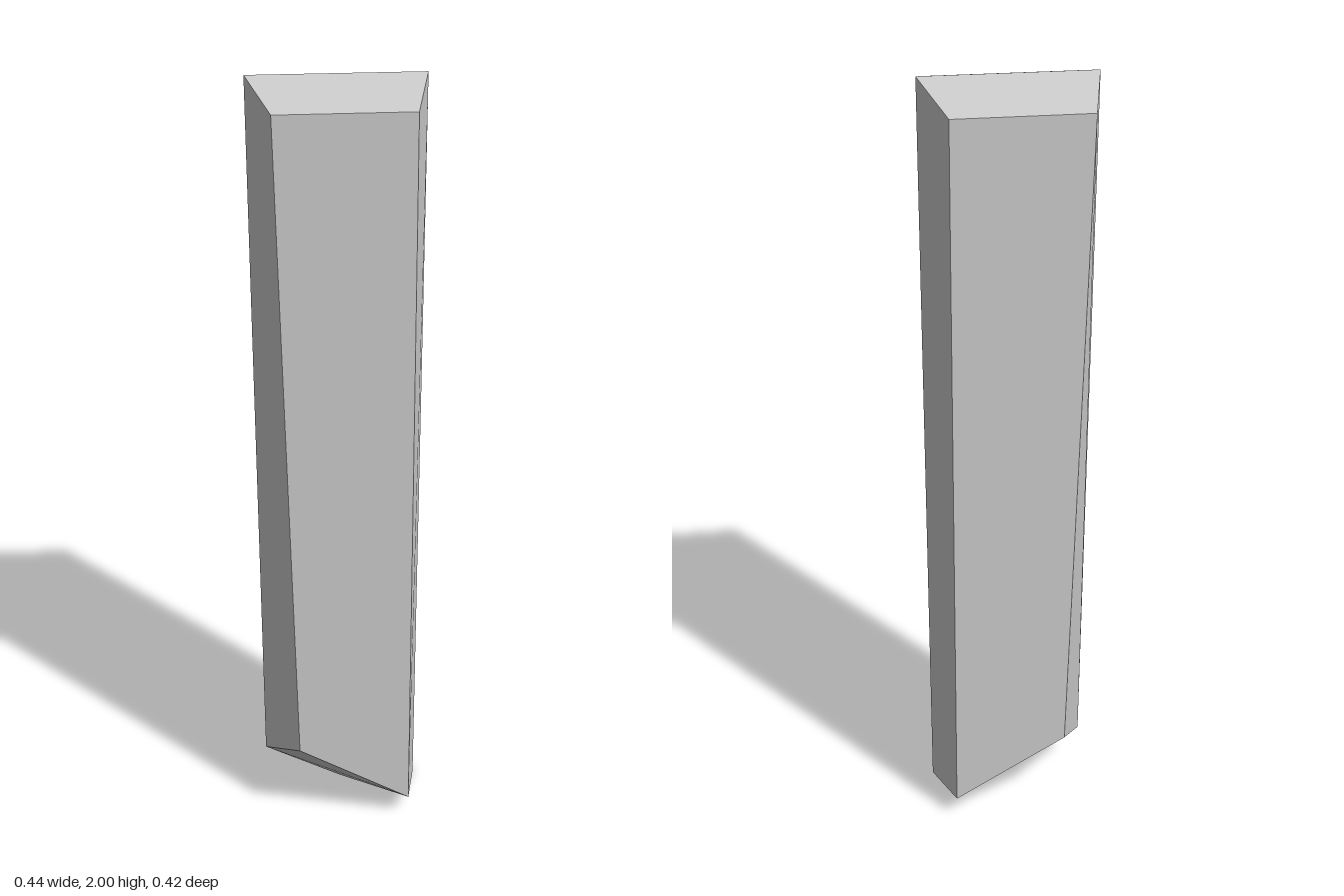
import * as THREE from 'three';
import { ConvexGeometry } from 'three/addons/geometries/ConvexGeometry.js';

export function createModel() {
  const group = new THREE.Group();
  group.name = 'bevelledPost';

  // Widest outline, in the middle plane (x, y)
  const ridge = [[-0.222, 2], [0.222, 2], [0.22, 0], [0.01, 0], [-0.2, 0.11]];
  // Smaller outline of the flat front and back faces
  const face = [[-0.172, 1.95], [0.17, 1.95], [0.177, 0.06], [-0.12, 0.23]];
  const halfDepth = 0.21;

  const points = ridge.map(([x, y]) => new THREE.Vector3(x, y, 0));
  for (const z of [halfDepth, -halfDepth]) {
    for (const [x, y] of face) points.push(new THREE.Vector3(x, y, z));
  }

  // Faceted solid with bevels running from the ridge to both faces
  const post = new THREE.Mesh(
    new ConvexGeometry(points),
    new THREE.MeshStandardMaterial({ color: 0xcccccc, flatShading: true })
  );
  post.name = 'post';
  group.add(post);
  return group;
}
